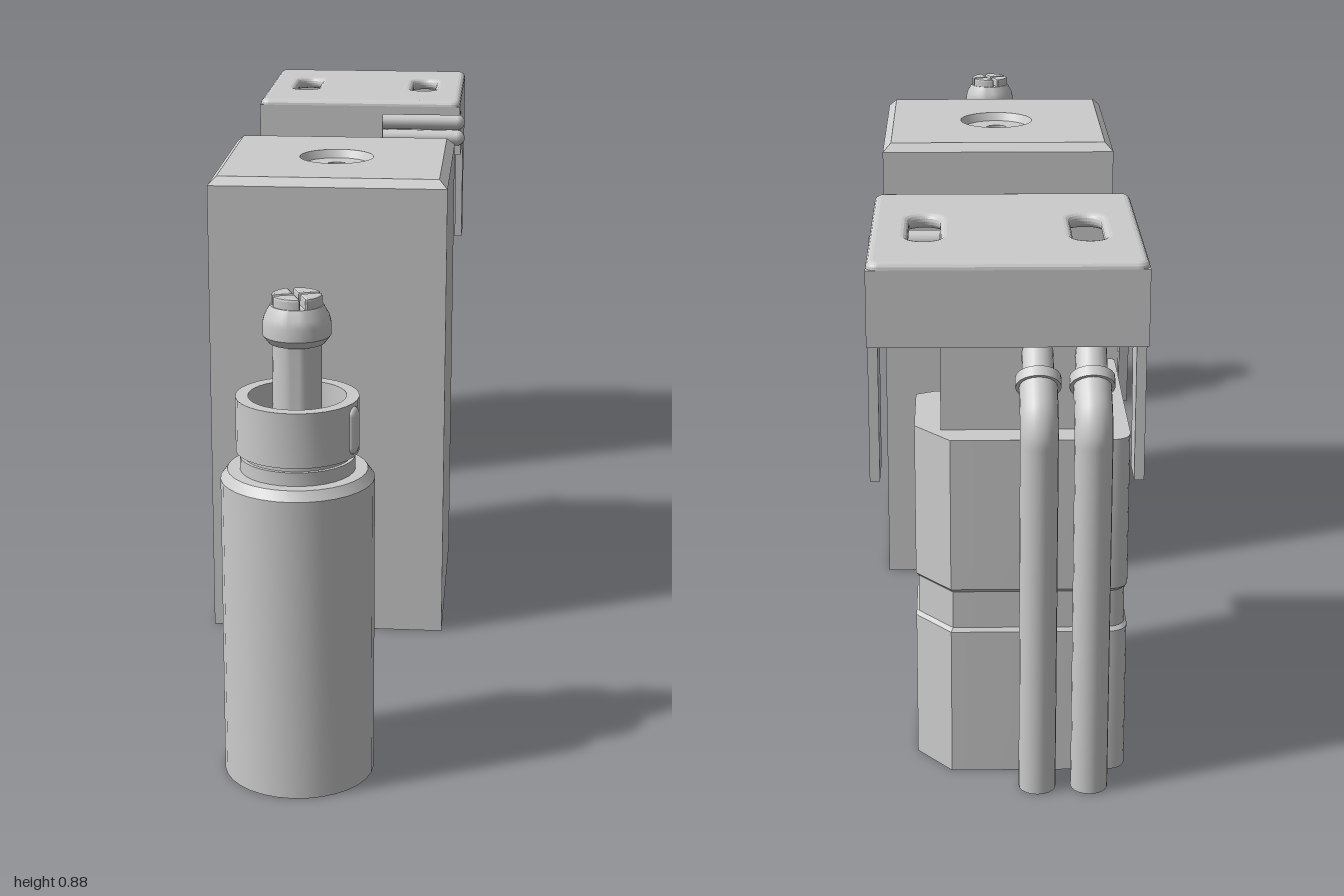
import * as THREE from 'three';
import { toCreasedNormals, mergeVertices } from 'three/addons/utils/BufferGeometryUtils.js';

const V = (x, y, z) => new THREE.Vector3(x, y, z);
const grey = new THREE.MeshStandardMaterial({ color: 0xcccccc, side: THREE.DoubleSide });

function add(parent, name, geo, x = 0, y = 0, z = 0) {
  const mesh = new THREE.Mesh(geo, grey);
  mesh.name = name;
  mesh.position.set(x, y, z);
  parent.add(mesh);
  return mesh;
}

function group(parent, name, x = 0, y = 0, z = 0) {
  const g = new THREE.Group();
  g.name = name;
  g.position.set(x, y, z);
  parent.add(g);
  return g;
}

const lathe = (pts, sides = 32) => toCreasedNormals(
  new THREE.LatheGeometry(pts.map(p => new THREE.Vector2(p[0], p[1])), sides), 0.5);

const box = (p, name, x0, x1, y0, y1, z0, z1) => add(p, name,
  new THREE.BoxGeometry(x1 - x0, y1 - y0, z1 - z0), (x0 + x1) / 2, (y0 + y1) / 2, (z0 + z1) / 2);

// Closed shape with corners rounded; each corner is [x, y, radius]
function roundedShape(corners) {
  const s = new THREE.Shape(), n = corners.length;
  corners.forEach((c, i) => {
    const a = corners[(i + n - 1) % n], b = corners[(i + 1) % n], r = c[2] || 0;
    const towards = q => {
      const d = Math.hypot(q[0] - c[0], q[1] - c[1]);
      return [c[0] + (q[0] - c[0]) * r / d, c[1] + (q[1] - c[1]) * r / d];
    };
    const p = towards(a), e = towards(b);
    if (i) s.lineTo(...p); else s.moveTo(...p);
    if (r) s.quadraticCurveTo(c[0], c[1], ...e);
  });
  s.closePath();
  return s;
}

// Walls through copies of an outline (x, -z); each level is [y, scale]
function loft(shape, levels, cx, cy) {
  const pts = shape.getPoints(6), pos = [];
  const at = (i, [y, k]) => {
    const p = pts[i % pts.length];
    return [cx + (p.x - cx) * k, y, -(cy + (p.y - cy) * k)];
  };
  for (let l = 0; l < levels.length - 1; l++) for (let i = 0; i < pts.length; i++) {
    const a = at(i, levels[l]), b = at(i + 1, levels[l]);
    const c = at(i + 1, levels[l + 1]), d = at(i, levels[l + 1]);
    pos.push(...a, ...b, ...c, ...a, ...c, ...d);
  }
  const g = new THREE.BufferGeometry();
  g.setAttribute('position', new THREE.Float32BufferAttribute(pos, 3));
  return toCreasedNormals(mergeVertices(g, 1e-5), 0.5);
}

const flat = shape => new THREE.ShapeGeometry(shape, 16).rotateX(-Math.PI / 2);

function pipe(p, name, pts, r) {
  const curve = new THREE.CatmullRomCurve3(pts, false, 'catmullrom', 0.2);
  add(p, name, new THREE.TubeGeometry(curve, 48, r, 14));
  for (const e of [pts[0], pts[pts.length - 1]])
    add(p, name + 'End', new THREE.SphereGeometry(r, 14, 10), e.x, e.y, e.z);
}

function makeBottle(root) {
  const g = group(root, 'bottle', -0.003, 0, 0.876);
  add(g, 'bottleBody', lathe([[0.123, 0], [0.123, 0.505], [0.112, 0.52], [0.092, 0.52], [0.092, 0.542],
    [0.086, 0.542], [0.086, 0.555]]));
  // hollow collar around the stem
  add(g, 'collar', lathe([[0.086, 0.551], [0.098, 0.551], [0.098, 0.64], [0.078, 0.64], [0.078, 0.575], [0.0, 0.575]]));
  add(g, 'stem', lathe([[0.039, 0.57], [0.039, 0.73]]));
  add(g, 'head', lathe([[0.039, 0.728], [0.045, 0.728], [0.054, 0.74], [0.054, 0.76], [0.051, 0.772],
    [0.042, 0.788], [0, 0.788]]));
  // four lugs separated by a cross slot
  for (let i = 0; i < 4; i++) {
    const s = new THREE.Shape();
    s.moveTo(0.007, 0.007);
    s.lineTo(0.036, 0.007);
    s.absarc(0, 0, 0.037, 0.2, Math.PI / 2 - 0.2);
    s.lineTo(0.007, 0.036);
    s.closePath();
    const geo = new THREE.ExtrudeGeometry(s, { depth: 0.014, bevelSize: 0.003, bevelThickness: 0.004, bevelSegments: 2 });
    add(g, 'headLug', geo.rotateX(-Math.PI / 2), 0, 0.787, 0).rotation.y = i * Math.PI / 2 + 0.35;
  }
  // raised tab on the collar
  const tab = add(g, 'collarTab', new THREE.CapsuleGeometry(0.014, 0.05, 6, 12), 0.091, 0.595, 0.034);
  tab.scale.set(0.6, 1, 1);
  tab.rotation.y = -0.36;
}

function makeCover(root) {
  const g = group(root, 'coverBox', -0.005, 0, 0.1);
  const square = h => roundedShape([[-h, -h], [h, -h], [h, h], [-h, h]]);
  const hole = (s, r) => { s.holes.push(new THREE.Path().absarc(0, 0, r, 0, Math.PI * 2, true)); return s; };
  add(g, 'coverWalls', loft(square(0.217), [[0.84, 0.9], [0, 0.9], [0, 1], [0.855, 1], [0.87, 0.93]], 0, 0));
  add(g, 'coverTop', flat(hole(square(0.217 * 0.93), 0.07)), 0, 0.87, 0);
  add(g, 'coverCeiling', flat(hole(square(0.217 * 0.9), 0.02)), 0, 0.84, 0);
  add(g, 'topRecess', lathe([[0.07, 0.87], [0.062, 0.855], [0.02, 0.855], [0.02, 0.84]]));
}

function makeCap(g) {
  const x0 = -0.222, x1 = 0.212, zf = -0.505, zb = -0.94, t = 0.016;
  // top plate with two long slots
  const b = 0.012;
  const plate = roundedShape([[x0 + b, -zf + b, 0.008], [x1 - b, -zf + b, 0.008],
    [x1 - b, -zb - b, 0.008], [x0 + b, -zb - b, 0.008]]);
  for (const x of [-0.137, 0.125]) {
    const h = new THREE.Path(), r = 0.037;
    h.absarc(x, 0.677, r, 0, Math.PI, true);
    h.absarc(x, 0.783, r, Math.PI, 0, true);
    h.closePath();
    plate.holes.push(h);
  }
  const top = new THREE.ExtrudeGeometry(plate, { depth: 0.001, bevelSize: b, bevelThickness: b, bevelSegments: 4, curveSegments: 10 });
  add(g, 'capTop', top.rotateX(-Math.PI / 2), 0, 0.862, 0);
  const panel = pts => new THREE.ExtrudeGeometry(roundedShape(pts), { depth: t, bevelEnabled: false });
  // front panel: two legs, open towards the left corner
  add(g, 'capFront', panel([[x0, 0.863], [x0, 0.505], [-0.18, 0.505], [-0.18, 0.68, 0.035], [-0.11, 0.68, 0.035],
    [-0.11, 0.505], [-0.03, 0.505], [-0.03, 0.68], [0.045, 0.68, 0.02], [0.045, 0.845], [x1, 0.845], [x1, 0.863]]), 0, 0, zf - t);
  add(g, 'capBack', panel([[x0, 0.863], [x0, 0.74], [x1, 0.74], [x1, 0.863]]), 0, 0, zb);
  // side panels, drawn as (-z, y) and turned to face sideways
  add(g, 'capLeftSide', panel([[-zf, 0.863], [-zf, 0.845], [0.6, 0.845], [0.6, 0.74], [0.81, 0.74], [0.82, 0.505],
    [0.9, 0.505], [0.9, 0.74], [-zb, 0.74], [-zb, 0.863]]).rotateY(Math.PI / 2), x1 - t, 0, 0);
  add(g, 'capRightSide', panel([[-zf, 0.863], [-zf, 0.505], [0.53, 0.505], [0.575, 0.74], [0.82, 0.74], [0.84, 0.505],
    [0.9, 0.505], [0.9, 0.74], [-zb, 0.74], [-zb, 0.863]]).rotateY(Math.PI / 2), x0, 0, 0);
}

function makeUnit(root) {
  const g = group(root, 'pumpUnit');
  makeCap(g);
  // hollow stepped housing with a waist groove, open below
  const foot = roundedShape([[-0.2, 0.515, 0.02], [0.05, 0.515, 0.03], [0.05, 0.685], [0.11, 0.685],
    [0.142, 0.7], [0.142, 0.85], [0.085, 0.918], [-0.2, 0.918, 0.035]]);
  add(g, 'housing', loft(foot, [[0, 1], [0.25, 1], [0.256, 0.975], [0.319, 0.975], [0.325, 1], [0.58, 1]], -0.03, 0.716));
  add(g, 'housingTop', flat(foot), 0, 0.58, 0);
  box(g, 'innerBlock', -0.15, 0.1, 0.58, 0.735, -0.87, -0.735);
  box(g, 'innerShelf', -0.15, 0.02, 0.58, 0.68, -0.735, -0.56);

  // round knob on the left side
  const knob = add(g, 'knob', lathe([[0.05, -0.03], [0.058, -0.02], [0.058, 0.02], [0.05, 0.03], [0, 0.03]]), 0.065, 0.455, -0.612);
  knob.rotation.z = -Math.PI / 2;

  // cross rods whose round ends show at the left side
  for (const y of [0.78, 0.815]) pipe(g, 'crossRod', [V(-0.02, y, -0.592), V(0.09, y, -0.592), V(0.204, y, -0.592)], 0.017);

  // thin bent lines down the front
  pipe(g, 'longLine', [V(0.07, 0.69, -0.74), V(0.07, 0.69, -0.6), V(0.07, 0.69, -0.55), V(0.068, 0.675, -0.535),
    V(0.066, 0.6, -0.535), V(0.064, 0.4, -0.54), V(0.064, 0.225, -0.545), V(0.062, 0.207, -0.553)], 0.012);
  pipe(g, 'shortLine', [V(0.01, 0.715, -0.74), V(0.01, 0.715, -0.57), V(0.01, 0.7, -0.55), V(0.01, 0.57, -0.545)], 0.011);

  // two pipes down the back, with collars where they bend inwards
  for (const x of [-0.137, -0.053]) {
    add(g, 'backPipe', new THREE.CylinderGeometry(0.03, 0.03, 0.59, 20), x, 0.295, -0.968);
    const bend = new THREE.CatmullRomCurve3([V(x, 0.58, -0.968), V(x, 0.605, -0.967), V(x, 0.632, -0.955),
      V(x, 0.652, -0.934), V(x, 0.675, -0.905)]);
    add(g, 'pipeBend', new THREE.TubeGeometry(bend, 20, 0.03, 20));
    const collar = add(g, 'pipeCollar', new THREE.CylinderGeometry(0.036, 0.036, 0.018, 20), x, 0.672, -0.908);
    const tip = add(g, 'pipeTip', new THREE.CylinderGeometry(0.025, 0.025, 0.08, 20), x, 0.695, -0.88);
    collar.rotation.x = tip.rotation.x = 0.88;
  }
}

export function createModel() {
  const root = new THREE.Group();
  root.name = 'pumpSet';
  makeBottle(root);
  makeCover(root);
  makeUnit(root);
  return root;
}
